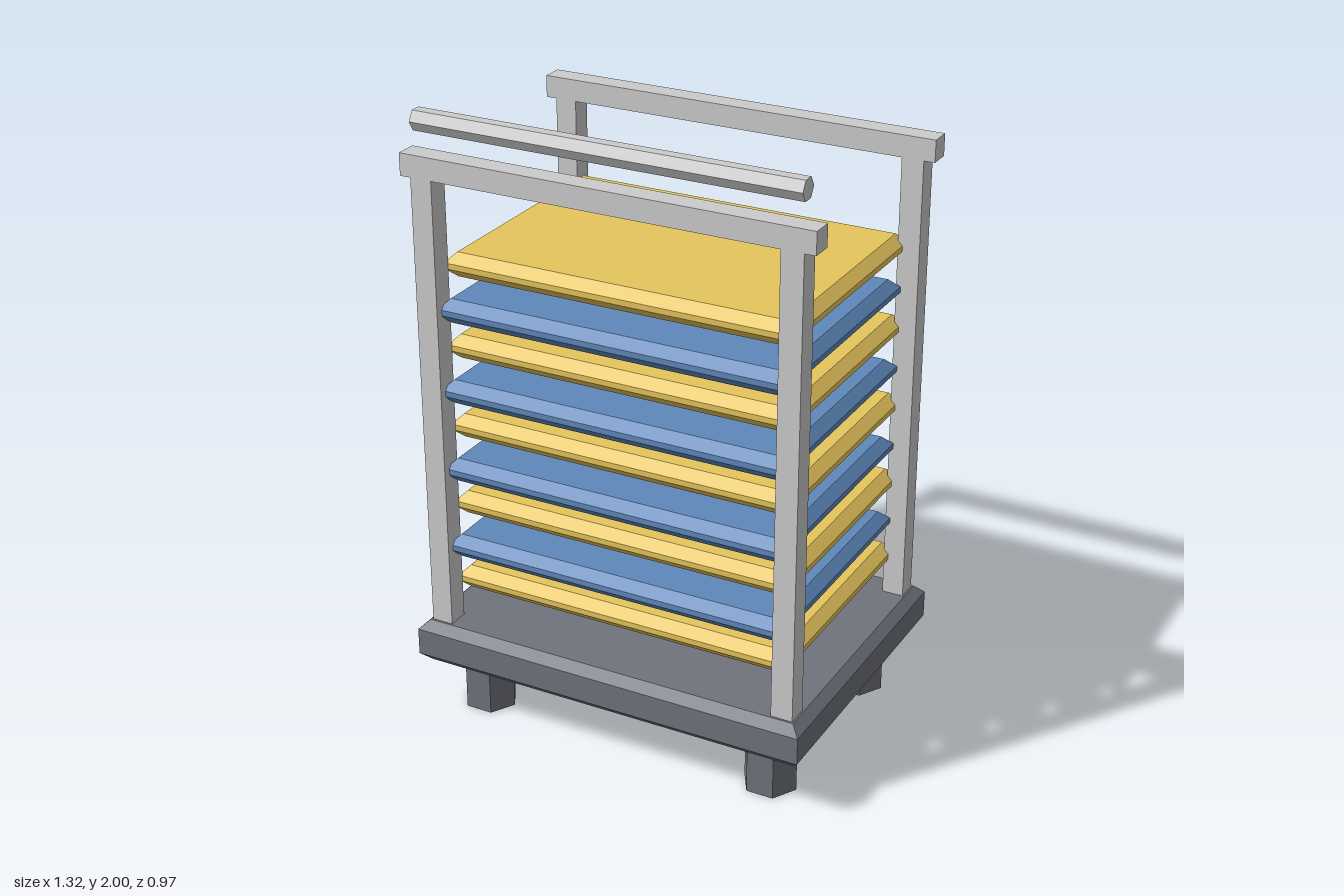
import * as THREE from 'three';

const mat = (color) => new THREE.MeshStandardMaterial({ color, flatShading: true });

// Slab with a single chamfer round its top and bottom edges, centred on the origin
function chamferedSlab(w, h, d, c) {
  const x = w / 2 - c, z = d / 2 - c;
  const shape = new THREE.Shape([[-x, -z], [x, -z], [x, z], [-x, z]].map(([a, b]) => new THREE.Vector2(a, b)));
  const geo = new THREE.ExtrudeGeometry(shape, {
    depth: h - 2 * c, bevelEnabled: true, bevelThickness: c, bevelSize: c, bevelSegments: 1,
  });
  return geo.translate(0, 0, c - h / 2).rotateX(-Math.PI / 2);
}

export function createModel() {
  const model = new THREE.Group();
  model.name = 'trayCart';
  const dark = mat(0x70737c), grey = mat(0xcccccc), yellow = mat(0xe6c55c), blue = mat(0x5f88bb);

  const add = (name, geo, material, x, y, z) => {
    const mesh = new THREE.Mesh(geo, material);
    mesh.name = name;
    mesh.position.set(x, y, z);
    model.add(mesh);
  };

  // Base platform
  add('base', chamferedSlab(1.32, 0.146, 0.966, 0.029), dark, 0, 0.255, 0);

  // Hexagonal feet, posts and top rails
  const footGeo = new THREE.CylinderGeometry(0.0875, 0.0875, 0.184, 6).rotateY(Math.PI / 2);
  const postGeo = new THREE.BoxGeometry(0.07, 1.48, 0.07);
  const railGeo = new THREE.BoxGeometry(1.32, 0.07, 0.07);
  for (const sz of [1, -1]) {
    const end = sz > 0 ? 'front' : 'back';
    for (const sx of [1, -1]) {
      const side = sx > 0 ? 'Left' : 'Right';
      add(`${end}${side}Foot`, footGeo, dark, sx * 0.5, 0.092, sz * 0.322);
      add(`${end}${side}Post`, postGeo, grey, sx * 0.59, 1.065, sz * 0.412);
    }
    add(`${end}Rail`, railGeo, grey, 0, 1.835, sz * 0.412);
  }

  // Stacked trays in alternating colours, shifted alternately back and forward
  const trayGeo = chamferedSlab(1.14, 0.078, 0.8, 0.03);
  for (let i = 0; i < 9; i++) {
    const odd = i % 2 === 1;
    add(`tray${i + 1}`, trayGeo, odd ? blue : yellow, 0, 0.457 + i * 0.132, odd ? 0.0225 : -0.0225);
  }

  // Push handle above the front rail
  const handleGeo = new THREE.CylinderGeometry(0.035, 0.035, 1.235, 6).rotateZ(Math.PI / 2);
  add('handle', handleGeo, grey, 0, 1.97, 0.415);

  return model;
}
